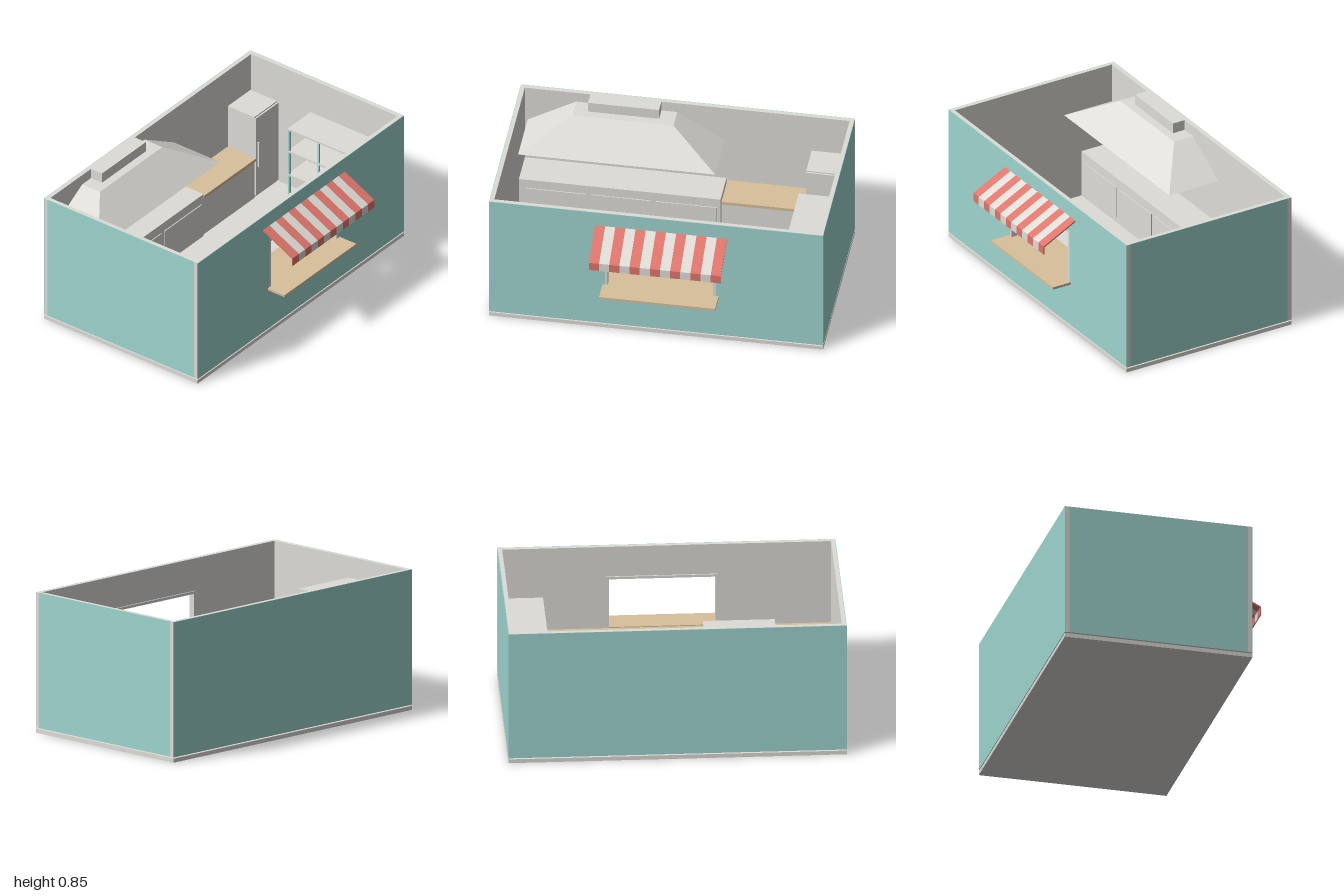
import * as THREE from 'three';

const mat = (name, color) => {
  const m = new THREE.MeshStandardMaterial({ color });
  m.name = name;
  return m;
};

export function createModel() {
  const teal = mat('teal paint', 0x9ed5cf);
  const grey = mat('light grey', 0xdedcd7);
  const wood = mat('pale wood', 0xd9c09a);
  const red = mat('awning red', 0xe0766c);

  const model = new THREE.Group();
  model.name = 'foodKiosk';

  // Box given by its lower and upper limits on each axis
  const box = (name, m, x0, x1, y0, y1, z0, z1, parent = model) => {
    const mesh = new THREE.Mesh(new THREE.BoxGeometry(x1 - x0, y1 - y0, z1 - z0), m);
    mesh.position.set((x0 + x1) / 2, (y0 + y1) / 2, (z0 + z1) / 2);
    mesh.name = name;
    parent.add(mesh);
    return mesh;
  };
  const group = (name) => {
    const g = new THREE.Group();
    g.name = name;
    model.add(g);
    return g;
  };

  const B = -0.68, F = 0.465, T = 0.028, SKIN = 0.003, Y0 = 0.032, Y1 = 0.85;
  const inB = B + T, inF = F - T, inX = 1 - T;

  // Base slab and the inset floor on it
  box('baseSlab', grey, -1, 1, 0, 0.025, B, F);
  box('floorPanel', grey, -0.975, 0.975, 0.025, 0.034, B + 0.02, F - 0.02);

  // Back wall and side walls: grey core with a thin painted skin outside
  box('backWall', grey, -1, 1, Y0, Y1, B + SKIN, inB);
  box('backWallPaint', teal, -1, 1, Y0, Y1, B, B + SKIN);
  for (const s of [-1, 1]) {
    const side = (name, m, a, b) =>
      box(name, m, Math.min(s * a, s * b), Math.max(s * a, s * b), Y0, Y1, inB, inF);
    side('sideWall', grey, inX, 1 - SKIN);
    side('sideWallPaint', teal, 1 - SKIN, 1);
  }

  // Front wall with the serving window cut out
  const W = { x0: -0.305, x1: 0.358, y0: 0.305, y1: 0.655 };
  const rect = (C, x0, x1, y0, y1) =>
    new C([[x0, y0], [x1, y0], [x1, y1], [x0, y1]].map((p) => new THREE.Vector2(...p)));
  const frontLayer = (name, m, z0, z1) => {
    const shape = rect(THREE.Shape, -1, 1, Y0, Y1);
    shape.holes.push(rect(THREE.Path, W.x0, W.x1, W.y0, W.y1));
    const geo = new THREE.ExtrudeGeometry(shape, { depth: z1 - z0, bevelEnabled: false });
    const mesh = new THREE.Mesh(geo, m);
    mesh.position.z = z0;
    mesh.name = name;
    model.add(mesh);
  };
  frontLayer('frontWall', grey, inF, F - SKIN);
  frontLayer('frontWallPaint', teal, F - SKIN, F);

  // Window frame, sill and outside serving shelf
  const frame = group('windowFrame');
  const fz0 = inF - 0.008, fz1 = F + 0.001;
  box('frameRight', grey, W.x0, W.x0 + 0.016, 0.32, W.y1, fz0, fz1, frame);
  box('frameLeft', grey, W.x1 - 0.016, W.x1, 0.32, W.y1, fz0, fz1, frame);
  box('frameTop', grey, W.x0 + 0.016, W.x1 - 0.016, W.y1 - 0.016, W.y1, fz0, fz1, frame);
  box('windowSill', wood, W.x0, W.x1, 0.305, 0.32, inF, F);
  box('servingShelf', wood, -0.32, 0.375, 0.305, 0.32, F, 0.59);

  // Striped awning: each stripe is one bent strip, sloping out and then hanging down
  const awning = group('awning');
  const profile = new THREE.Shape();
  [[0.465, 0.755], [0.685, 0.643], [0.685, 0.59], [0.678, 0.59], [0.678, 0.637], [0.465, 0.746]]
    .forEach(([z, y], i) => (i ? profile.lineTo(-z, y) : profile.moveTo(-z, y)));
  const stripes = 13, ax0 = -0.365, sw = 0.79 / stripes;
  const stripeGeo = new THREE.ExtrudeGeometry(profile, { depth: sw, bevelEnabled: false });
  stripeGeo.rotateY(Math.PI / 2);
  for (let i = 0; i < stripes; i++) {
    const stripe = new THREE.Mesh(stripeGeo, i % 2 ? grey : red);
    stripe.position.x = ax0 + i * sw;
    stripe.name = 'awningStripe';
    awning.add(stripe);
  }

  // Counters with wooden tops
  const counter = (name, x0, x1, z0, z1) => {
    const g = group(name);
    box('cabinet', grey, x0, x1, 0.034, 0.295, z0 + 0.01, z1 - 0.01, g);
    box('worktop', wood, x0, x1, 0.295, 0.315, z0, z1, g);
  };
  counter('frontCounter', -inX, 0.74, 0.245, inF - 0.002);
  counter('backCounter', 0.24, 0.74, inB, -0.44);

  // Cooking range below the hood
  const range = group('cookingRange');
  box('rangeBody', grey, -inX, 0.235, 0.034, 0.33, inB, -0.44, range);
  for (let i = 0; i < 3; i++) {
    const x = -0.93 + i * 0.39;
    box('ovenDoor', grey, x, x + 0.36, 0.07, 0.27, -0.44, -0.434, range);
  }

  // Extractor hood: a box narrowed at the top, flush with the back wall
  const hood = group('extractorHood');
  const hoodGeo = new THREE.BoxGeometry(1, 1, 1);
  const p = hoodGeo.attributes.position;
  for (let i = 0; i < p.count; i++) {
    const top = p.getY(i) > 0, right = p.getX(i) > 0, front = p.getZ(i) > 0;
    p.setXYZ(i,
      right ? (top ? -0.06 : 0.225) : (top ? -0.665 : -0.955),
      top ? 0.785 : 0.615,
      front ? (top ? -0.52 : -0.31) : inB);
  }
  const canopy = new THREE.Mesh(hoodGeo.toNonIndexed(), grey);
  canopy.geometry.computeVertexNormals();
  canopy.name = 'hoodCanopy';
  hood.add(canopy);
  box('hoodDuct', grey, -0.58, -0.155, 0.785, 0.85, inB, -0.57, hood);

  // Fridge in the back corner
  const fridge = group('fridge');
  box('fridgeBody', grey, 0.745, 0.965, 0.034, 0.6, inB, -0.455, fridge);
  box('fridgeDoor', grey, 0.745, 0.965, 0.05, 0.595, -0.452, -0.442, fridge);
  box('fridgeHandle', grey, 0.758, 0.768, 0.25, 0.42, -0.442, -0.43, fridge);

  // Low cabinet in the front corner
  box('cornerCabinet', grey, 0.745, 0.965, 0.034, 0.32, 0.255, inF - 0.004);

  // Open storage rack along the side wall
  const rack = group('storageRack');
  for (const y of [0.12, 0.29, 0.455, 0.61])
    box('rackShelf', grey, 0.742, 0.965, y, y + 0.012, -0.205, 0.248, rack);
  for (const x of [0.744, 0.951])
    for (const z of [-0.203, 0.015, 0.234])
      box('rackPost', teal, x, x + 0.012, 0.034, 0.61, z, z + 0.012, rack);

  return model;
}
